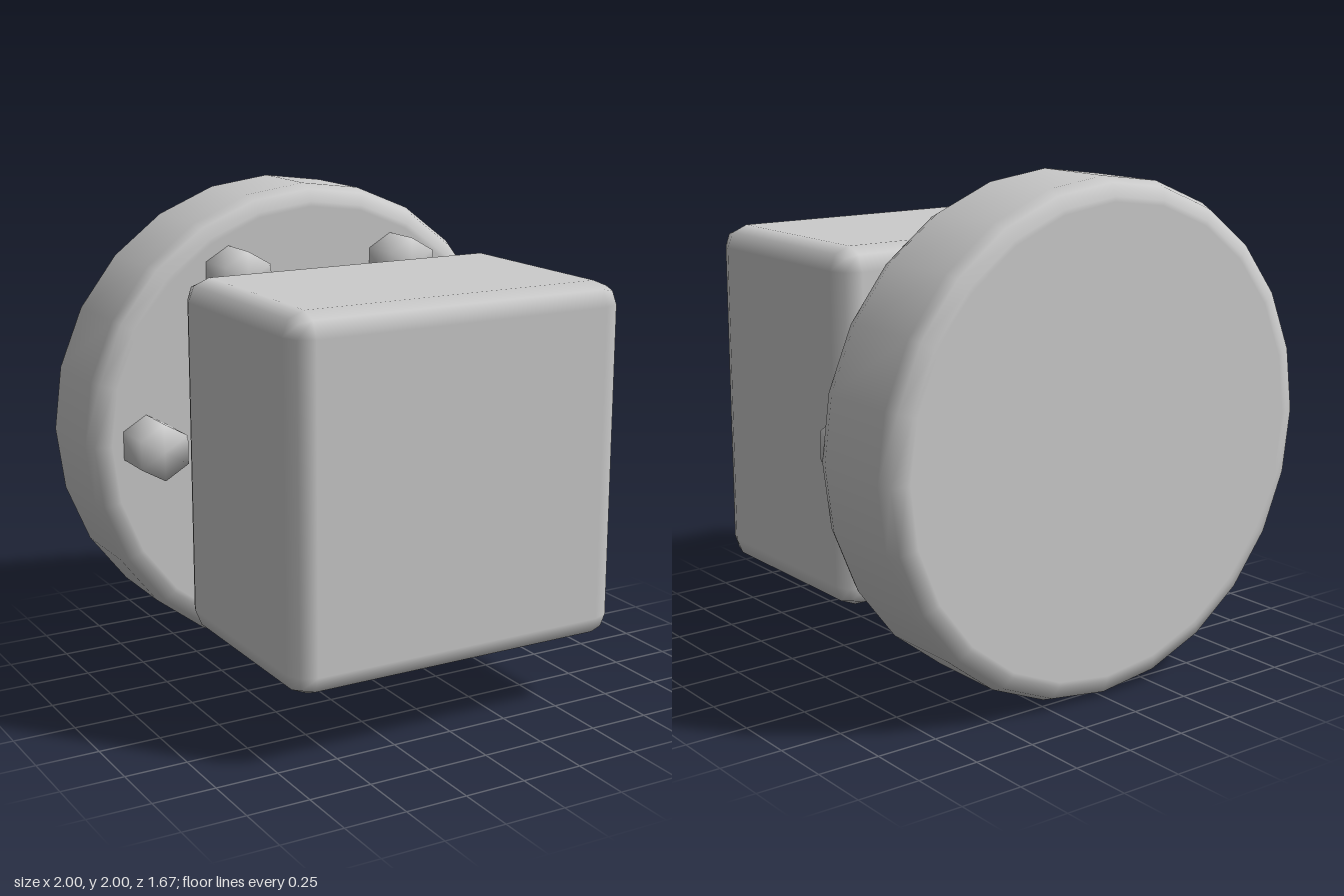
import * as THREE from 'three';
import { mergeVertices } from 'three/addons/utils/BufferGeometryUtils.js';
import { RoundedBoxGeometry } from 'three/addons/geometries/RoundedBoxGeometry.js';

const BACK = -0.835, FRONT = -0.36, CENTRE_Y = 1;

export function createModel() {
  const group = new THREE.Group();
  const material = new THREE.MeshStandardMaterial({ color: 0xcccccc });
  const add = (name, geometry, x, y, z) => {
    const mesh = new THREE.Mesh(geometry, material);
    mesh.name = name;
    mesh.position.set(x, y, z);
    group.add(mesh);
  };

  // Front block with softly bevelled edges
  add('block', new RoundedBoxGeometry(1.426, 1.426, 0.955, 1, 0.09), 0, CENTRE_Y, 0.3575);

  // Round 24-sided plate with a bevelled rim, turned to face the front
  const bevel = 0.07, half = (FRONT - BACK) / 2;
  const profile = [new THREE.Vector2(0, -half), new THREE.Vector2(0.92 - 0.01, -half)];
  for (const side of [-1, 1]) {
    for (let i = 0; i <= 2; i++) {
      const a = (side < 0 ? i : 2 - i) * Math.PI / 4;
      profile.push(new THREE.Vector2(1 - bevel + bevel * Math.sin(a), side * (half - bevel + bevel * Math.cos(a))));
    }
  }
  profile.push(new THREE.Vector2(0.91, half), new THREE.Vector2(0, half));
  const plate = new THREE.LatheGeometry(profile, 24).rotateX(Math.PI / 2);
  add('plate', plate, 0, CENTRE_Y, (FRONT + BACK) / 2);

  // Six smooth-shaded hexagonal bolts in a ring, slightly sunk into the plate
  const length = 0.22;
  let bolt = new THREE.CylinderGeometry(0.117, 0.117, length, 6).rotateX(Math.PI / 2);
  bolt.deleteAttribute('normal');
  bolt.deleteAttribute('uv');
  bolt = mergeVertices(bolt);
  bolt.computeVertexNormals();
  for (let i = 0; i < 6; i++) {
    const a = i * Math.PI / 3;
    add('bolt' + (i + 1), bolt, 0.76 * Math.cos(a), CENTRE_Y + 0.76 * Math.sin(a), -0.18 - length / 2);
  }
  return group;
}
